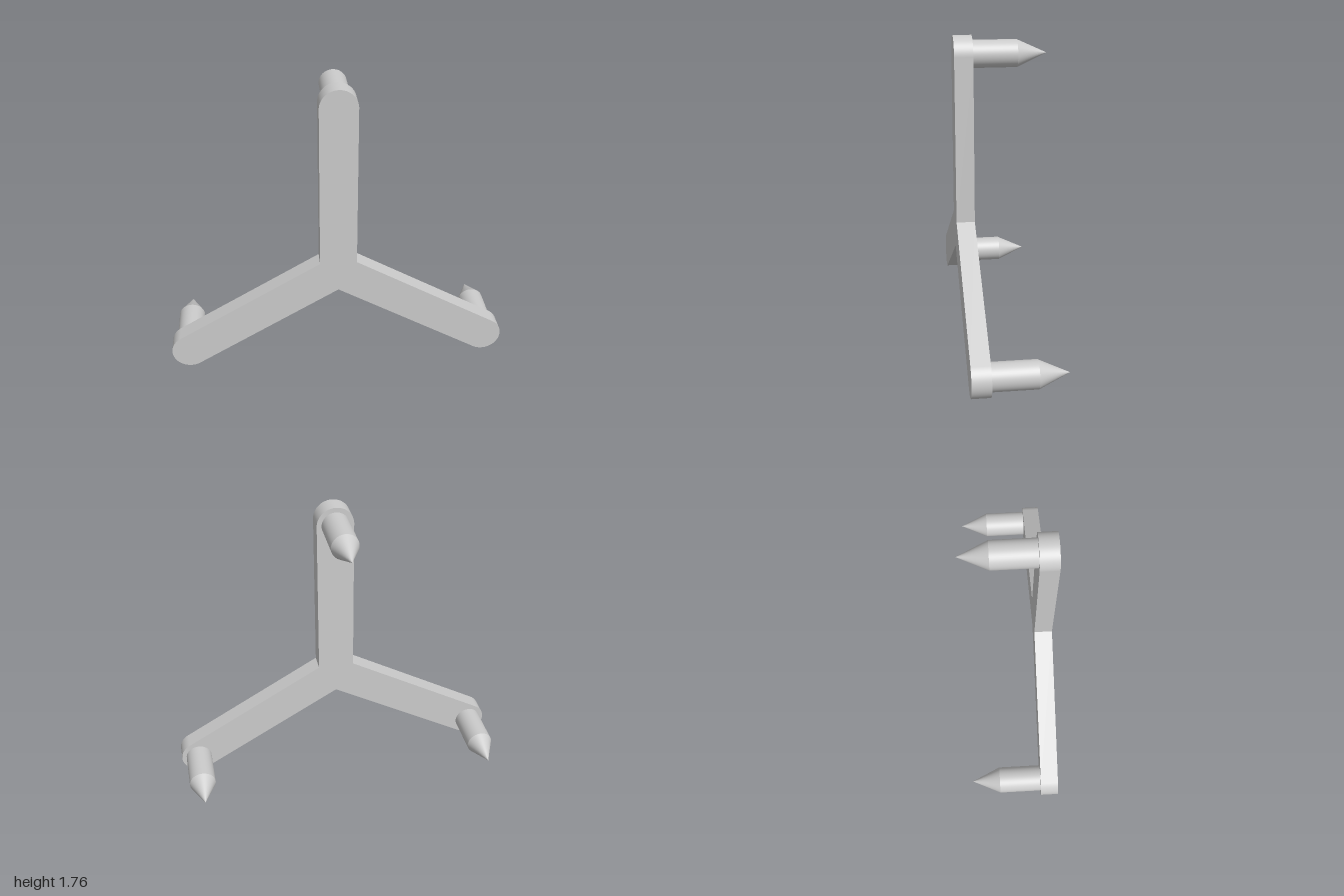
import * as THREE from 'three';

const ARM = 1.031;       // hub to pin centre
const HALF = 0.107;      // half the arm width
const HUB_Y = 0.6225;
const FRONT = 0.267, BACK = 0.16, SHOULDER = -0.095, TIP = -0.267;
const PIN_R = 0.079;

export function createModel() {
  const model = new THREE.Group();
  const material = new THREE.MeshStandardMaterial({ color: 0xcccccc });
  const angles = [90, 210, 330].map(THREE.MathUtils.degToRad);

  const add = (parent, name, geometry) => {
    const mesh = new THREE.Mesh(geometry, material);
    mesh.name = name;
    parent.add(mesh);
    return mesh;
  };

  // Three-armed plate: a rounded end per arm, then the notch before the next arm
  const outline = new THREE.Shape();
  const notch = HALF / Math.cos(Math.PI / 6);
  angles.forEach((a, i) => {
    const start = a - Math.PI / 3;
    if (i === 0) outline.moveTo(notch * Math.cos(start), notch * Math.sin(start));
    outline.absarc(ARM * Math.cos(a), ARM * Math.sin(a), HALF, a - Math.PI / 2, a + Math.PI / 2, false);
    const end = a + Math.PI / 3;
    outline.lineTo(notch * Math.cos(end), notch * Math.sin(end));
  });
  const plate = add(model, 'threeArmPlate', new THREE.ExtrudeGeometry(outline, {
    depth: FRONT - BACK, bevelEnabled: false, curveSegments: 24,
  }));
  // Smooth the rounded arm ends
  const pos = plate.geometry.attributes.position, nor = plate.geometry.attributes.normal;
  for (let i = 0; i < pos.count; i++) {
    if (Math.abs(nor.getZ(i)) > 0.5) continue;
    for (const a of angles) {
      const dx = pos.getX(i) - ARM * Math.cos(a), dy = pos.getY(i) - ARM * Math.sin(a);
      const d = Math.hypot(dx, dy);
      if (d < HALF * 1.01) nor.setXYZ(i, dx / d, dy / d, 0);
    }
  }
  plate.position.set(0, HUB_Y, BACK);

  // Pointed pins on the back of each arm end
  ['topPin', 'rightPin', 'leftPin'].forEach((name, i) => {
    const pin = new THREE.Group();
    pin.name = name;
    pin.position.set(ARM * Math.cos(angles[i]), HUB_Y + ARM * Math.sin(angles[i]), 0);
    const shaft = add(pin, 'pinShaft', new THREE.CylinderGeometry(PIN_R, PIN_R, BACK - SHOULDER, 48, 1, true));
    shaft.rotation.x = -Math.PI / 2;
    shaft.position.z = (BACK + SHOULDER) / 2;
    const tip = add(pin, 'pinTip', new THREE.ConeGeometry(PIN_R, SHOULDER - TIP, 48, 1, true));
    tip.rotation.x = -Math.PI / 2;
    tip.position.z = (SHOULDER + TIP) / 2;
    model.add(pin);
  });

  return model;
}
